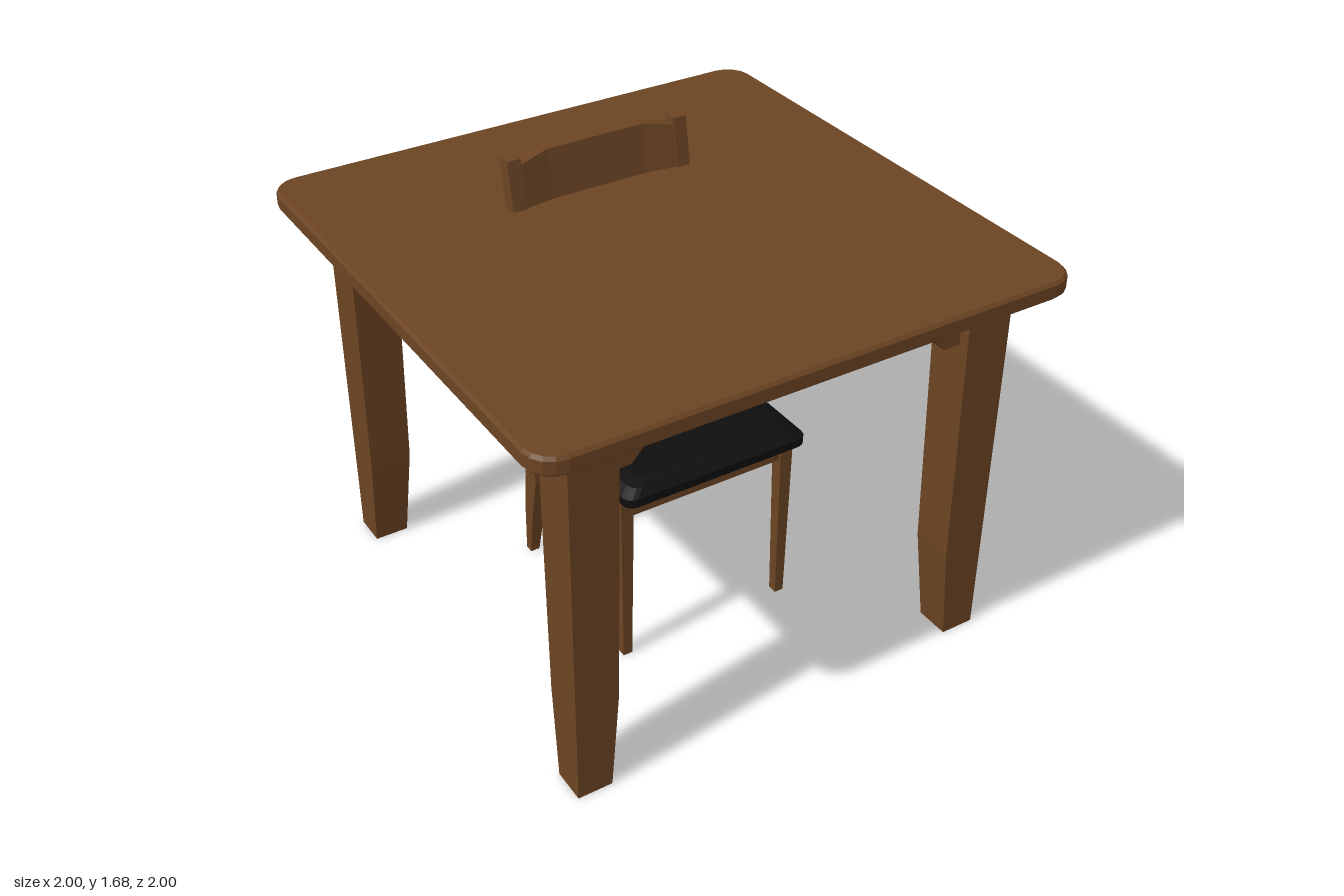
import * as THREE from 'three';

const wood = new THREE.MeshStandardMaterial({ color: 0x6b4423 });
wood.name = 'brown wood';
const black = new THREE.MeshStandardMaterial({ color: 0x0e0e0e });
black.name = 'black upholstery';

function add(group, name, geometry, material = wood) {
  const mesh = new THREE.Mesh(geometry, material);
  mesh.name = name;
  group.add(mesh);
  return mesh;
}

// Closed, flat-shaded solid through a list of rings of [x, y, z] points
function loft(rings) {
  const pos = [];
  const tri = (a, b, c) => pos.push(...a, ...b, ...c);
  const n = rings[0].length;
  for (let k = 0; k < rings.length - 1; k++) {
    const a = rings[k], b = rings[k + 1];
    for (let i = 0; i < n; i++) {
      const j = (i + 1) % n;
      tri(a[i], a[j], b[j]);
      tri(a[i], b[j], b[i]);
    }
  }
  const first = rings[0], last = rings[rings.length - 1];
  for (let i = 1; i < n - 1; i++) {
    tri(first[0], first[i + 1], first[i]);
    tri(last[0], last[i], last[i + 1]);
  }
  const g = new THREE.BufferGeometry();
  g.setAttribute('position', new THREE.Float32BufferAttribute(pos, 3));
  g.computeVertexNormals();
  return g;
}

// Horizontal rectangle with rounded corners, counterclockwise from above
function ring(y, x0, x1, z0, z1, r = 0, steps = 4) {
  if (!r) return [[x0, y, z1], [x1, y, z1], [x1, y, z0], [x0, y, z0]];
  const centres = [[x1 - r, z1 - r], [x1 - r, z0 + r], [x0 + r, z0 + r], [x0 + r, z1 - r]];
  const pts = [];
  centres.forEach(([cx, cz], q) => {
    for (let i = 0; i <= steps; i++) {
      const a = (q - 1 + i / steps) * Math.PI / 2;
      pts.push([cx + r * Math.cos(a), y, cz - r * Math.sin(a)]);
    }
  });
  return pts;
}

// Rings given on the +x side, mirrored where side is -1
function sideRing(side, y, xIn, xOut, z0, z1) {
  return side > 0 ? ring(y, xIn, xOut, z0, z1) : ring(y, -xOut, -xIn, z0, z1);
}

// Apron board with a stepped bracket at each end
function apron(half, flat, slope, depth) {
  const s = new THREE.Shape();
  s.moveTo(-half, 1.44);
  s.lineTo(-half, 1.25);
  s.lineTo(-flat, 1.25);
  s.lineTo(-slope, 1.305);
  s.lineTo(slope, 1.305);
  s.lineTo(flat, 1.25);
  s.lineTo(half, 1.25);
  s.lineTo(half, 1.44);
  s.closePath();
  const g = new THREE.ExtrudeGeometry(s, { depth, bevelEnabled: false });
  return g.translate(0, 0, -depth / 2);
}

function buildTable() {
  const table = new THREE.Group();
  table.name = 'table';

  // Top with rounded corners and softened edges
  add(table, 'tableTop', loft([[1.43, 0.012], [1.442, 0], [1.488, 0], [1.5, 0.01]].map(
    ([y, inset]) => ring(y, -1 + inset, 1 - inset, -1 + inset, 1 - inset, 0.1 - inset))));

  // Legs tapering on their inner faces
  for (const sx of [-1, 1]) for (const sz of [-1, 1]) {
    const rings = [[0, 0.71, 0.74], [0.37, 0.68, 0.71], [1.435, 0.662, 0.69]].map(([y, x, z]) =>
      sideRing(sx, y, x, 0.84, sz > 0 ? z : -0.87, sz > 0 ? 0.87 : -z));
    add(table, 'tableLeg', loft(rings));
  }

  // Aprons
  for (const s of [-1, 1]) {
    add(table, 'tableLongApron', apron(0.69, 0.6, 0.55, 0.05)).position.z = s * 0.805;
    const side = add(table, 'tableSideApron', apron(0.72, 0.575, 0.465, 0.05));
    side.rotation.y = Math.PI / 2;
    side.position.x = s * 0.775;
  }
  return table;
}

// Back post outline: height, front z, rear z
const POST = [[0, -0.35, -0.385], [0.2, -0.31, -0.367], [0.38, -0.272, -0.35], [1.0, -0.272, -0.345],
  [1.15, -0.283, -0.352], [1.3, -0.302, -0.367], [1.68, -0.37, -0.425]];

function postFront(y) {
  let i = 1;
  while (i < POST.length - 1 && POST[i][0] < y) i++;
  const [y0, z0] = POST[i - 1], [y1, z1] = POST[i];
  return z0 + (z1 - z0) * (y - y0) / (y1 - y0);
}

// Backward bow of the backrest across its width
const bow = (x) => 0.018 * Math.min(1, (0.31 - Math.abs(x)) / 0.12);

// Bowed cross rail that leans with the posts; stations are [x, top]
function rail(bottom, stations, thick) {
  return loft(stations.map(([x, top]) => {
    const f = (y) => postFront(y) - 0.006 - bow(x);
    return [[x, bottom, f(bottom)], [x, bottom, f(bottom) - thick],
      [x, top, f(top) - thick], [x, top, f(top)]];
  }));
}

function buildChair() {
  const chair = new THREE.Group();
  chair.name = 'chair';
  chair.position.x = -0.004;

  // Legs and back posts
  for (const s of [-1, 1]) {
    add(chair, 'chairFrontLeg', loft([
      sideRing(s, 0, 0.317, 0.353, 0.318, 0.355),
      sideRing(s, 0.72, 0.308, 0.36, 0.308, 0.362),
    ]));
    add(chair, 'chairBackPost', loft(POST.map(([y, front, rear]) =>
      sideRing(s, y, y ? 0.308 : 0.317, y ? 0.36 : 0.353, rear, front))));
  }

  // Seat frame and cushion
  add(chair, 'seatFrame', loft([0.62, 0.722].map((y) => ring(y, -0.35, 0.35, -0.32, 0.35))));
  add(chair, 'seatCushion', loft([[0.718, 0], [0.75, 0], [0.772, 0.035], [0.783, 0.08], [0.79, 0.17]].map(
    ([y, i]) => ring(y, -0.373 + i, 0.373 - i, -0.272 + i * 0.05, 0.43 - i * 0.8, 0.04, 3))), black);

  // Backrest rails and slats
  add(chair, 'lowerBackRail', rail(0.83, [-0.31, -0.19, 0.19, 0.31].map((x) => [x, 0.92]), 0.04));
  add(chair, 'topBackRail', rail(1.4, [[-0.31, 1.655], [-0.19, 1.678], [0.19, 1.678], [0.31, 1.655]], 0.04));
  for (let i = -2; i <= 2; i++) {
    const x = i * 0.105;
    add(chair, 'backSlat', loft([0.9, 1.0, 1.15, 1.3, 1.42].map((y) => {
      const z = postFront(y) - 0.014 - bow(x);
      return ring(y, x - 0.023, x + 0.023, z - 0.022, z);
    })));
  }
  return chair;
}

export function createModel() {
  const model = new THREE.Group();
  model.name = 'tableAndChair';
  model.add(buildTable(), buildChair());
  return model;
}
